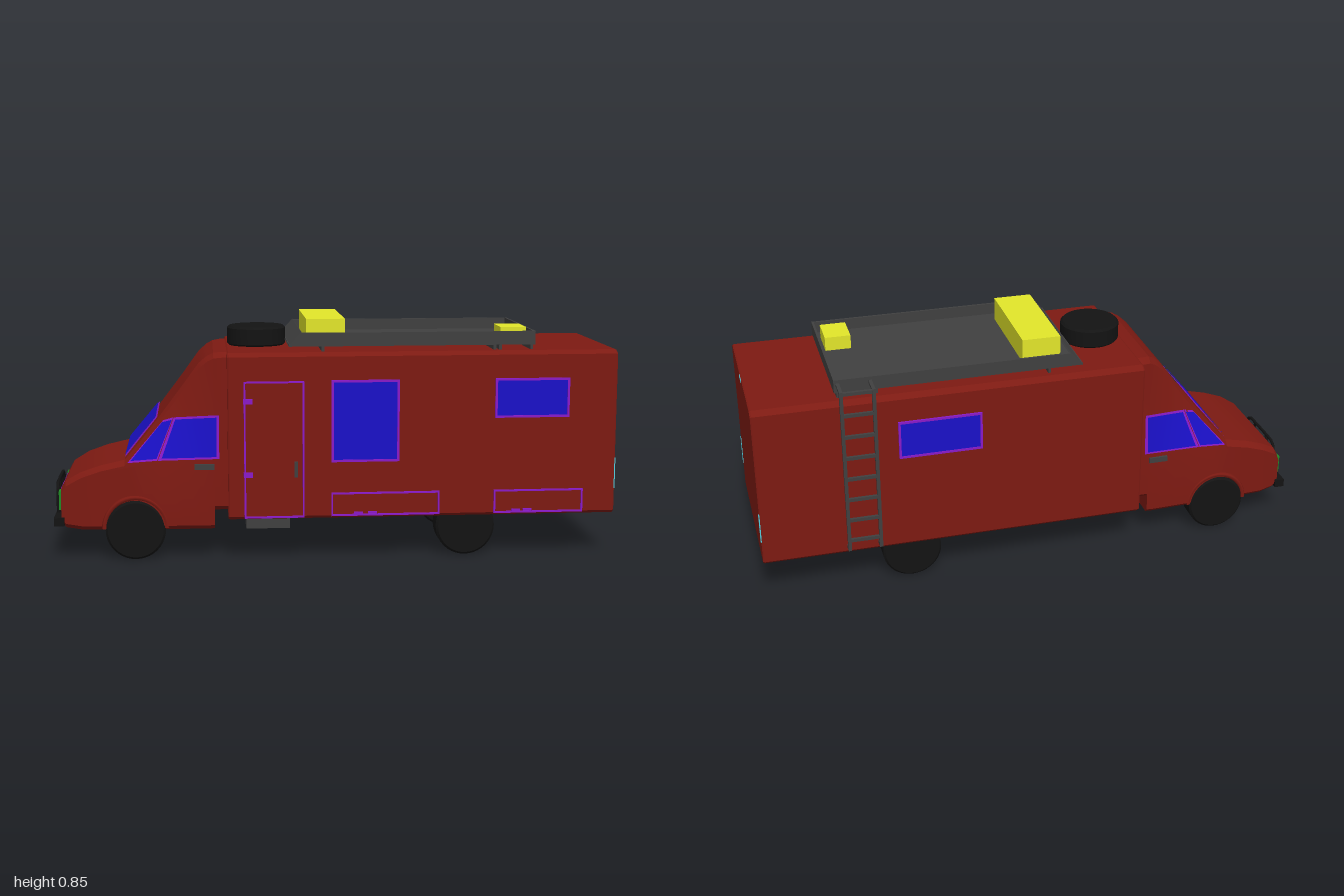
import * as THREE from 'three';
import { toCreasedNormals } from 'three/addons/utils/BufferGeometryUtils.js';

const mat = (color, side = THREE.FrontSide) => new THREE.MeshStandardMaterial({ color, side });
const RED = mat(0x7d1a12), BLUE = mat(0x1a10c8, THREE.DoubleSide), PURPLE = mat(0x8a1ac8, THREE.DoubleSide);
const YELLOW = mat(0xe2e62a), DARK = mat(0x404040, THREE.DoubleSide), BLACK = mat(0x131313);
const CYAN = mat(0x55d0e0), GREEN = mat(0x1f8a24);
const CZ = 0.012; // centre line of the vehicle
const lerp = THREE.MathUtils.lerp;

// piecewise linear lookup in [x, value] pairs
function along(table, x) {
  if (x <= table[0][0]) return table[0][1];
  for (let i = 1; i < table.length; i++) {
    const [a, va] = table[i - 1], [b, vb] = table[i];
    if (x <= b) return lerp(va, vb, (x - a) / (b - a));
  }
  return table[table.length - 1][1];
}

// half width of the cab: straight below the belt line, leaning inward above it
const BELT = 0.345;
function cabHalfWidth(x, y) {
  const base = along([[-0.97, 0.212], [-0.9, 0.23], [-0.72, 0.24], [-0.37, 0.255]], x);
  const lean = along([[-0.62, 0.24], [-0.4, 0.04]], x);
  return base - lean * Math.max(0, y - BELT);
}

export function createModel() {
  const root = new THREE.Group();
  const add = (name, geo, material, x = 0, y = 0, z = 0, parent = root) => {
    const m = new THREE.Mesh(geo, material);
    m.name = name;
    m.position.set(x, y, z);
    parent.add(m);
    return m;
  };
  // box given by its limits
  const box = (name, material, x0, x1, y0, y1, z0, z1) =>
    add(name, new THREE.BoxGeometry(x1 - x0, y1 - y0, z1 - z0), material, (x0 + x1) / 2, (y0 + y1) / 2, (z0 + z1) / 2);

  // living compartment: chamfered section pulled along x
  const section = new THREE.Shape();
  const W = 0.302;
  [[-W + 0.01, 0.15], [W - 0.01, 0.15], [W, 0.16], [W, 0.725], [W - 0.025, 0.738], [-W + 0.025, 0.738], [-W, 0.725], [-W, 0.16]]
    .forEach(([a, b], i) => (i ? section.lineTo(a, b) : section.moveTo(a, b)));
  const hull = new THREE.ExtrudeGeometry(section, { depth: 1.37, bevelEnabled: true, bevelThickness: 0.005, bevelSize: 0.003, bevelOffset: -0.003, bevelSegments: 1 });
  hull.rotateY(Math.PI / 2);
  add('livingCompartment', hull, RED, -0.377, 0, CZ);

  // cab: cross-sections [x, bottom, top] joined from nose to rear
  const stations = [[-0.972, 0.13, 0.25], [-0.955, 0.112, 0.28], [-0.9, 0.106, 0.312], [-0.83, 0.105, 0.336],
    [-0.745, 0.105, 0.355], [-0.68, 0.105, 0.43], [-0.62, 0.105, 0.506], [-0.54, 0.105, 0.612], [-0.48, 0.105, 0.694],
    [-0.45, 0.105, 0.72], [-0.43, 0.107, 0.73], [-0.429, 0.175, 0.731], [-0.4, 0.175, 0.735], [-0.37, 0.175, 0.735]];
  const rings = stations.map(([x, b, t]) => {
    const belt = Math.min(BELT, t - 0.03), mid = lerp(belt, t - 0.018, 0.5);
    const half = [[b, -0.015], [b + 0.015, 0], [belt, 0], [mid, 0], [t - 0.018, 0], [t, -0.022]]
      .map(([y, d]) => [y, cabHalfWidth(x, y) + d]);
    return [...half.map(([y, w]) => [x, y, w]), ...half.reverse().map(([y, w]) => [x, y, -w])];
  });
  const n = rings[0].length, index = [];
  for (let s = 0; s < rings.length - 1; s++) {
    for (let i = 0; i < n; i++) {
      const a = s * n + i, b = s * n + (i + 1) % n;
      index.push(a, a + n, b, b, a + n, b + n);
    }
  }
  const last = (rings.length - 1) * n;
  for (let i = 1; i < n - 1; i++) index.push(0, i, i + 1, last, last + i + 1, last + i);
  let cab = new THREE.BufferGeometry();
  cab.setAttribute('position', new THREE.Float32BufferAttribute(rings.flat(2), 3));
  cab.setIndex(index);
  cab = toCreasedNormals(cab, 0.35);
  add('cab', cab, RED, 0, 0, CZ);

  // four-cornered pane [bottom front, bottom rear, top rear, top front], each corner mapped by place()
  function pane(name, c, material, shrink, place) {
    const geo = new THREE.PlaneGeometry(1, 1, 8, 8), p = geo.attributes.position;
    for (let i = 0; i < p.count; i++) {
      const u = p.getX(i) * shrink + 0.5, v = p.getY(i) * shrink + 0.5;
      const q = [0, 1].map(k => lerp(lerp(c[0][k], c[1][k], u), lerp(c[3][k], c[2][k], u), v));
      p.setXYZ(i, ...place(...q));
    }
    geo.computeVertexNormals();
    add(name, geo, material, 0, 0, CZ);
  }
  const quarter = [[-0.735, 0.348], [-0.63, 0.355], [-0.572, 0.505], [-0.607, 0.495]];
  const doorGlass = [[-0.628, 0.355], [-0.412, 0.36], [-0.412, 0.515], [-0.57, 0.505]];
  for (const s of [1, -1]) {
    const onSide = off => (x, y) => [x, y, s * (cabHalfWidth(x, y) + off)];
    for (const [name, c] of [['quarterWindow', quarter], ['cabDoorWindow', doorGlass]]) {
      pane(name + 'Frame', c, PURPLE, 1, onSide(0.003));
      pane(name, c, BLUE, 0.9, onSide(0.006));
    }
    // cab door handle, wheel arch, headlamp
    const side = CZ + s * 0.253;
    box('cabDoorHandle', DARK, -0.5, -0.43, 0.322, 0.342, side - 0.006, side + 0.006);
    const arch = new THREE.TorusGeometry(0.11, 0.009, 6, 20, Math.PI);
    add('wheelArch', arch, RED, -0.71, 0.112, CZ + s * 0.238);
    const lamp = CZ + s * 0.18;
    box('headlamp', GREEN, -0.98, -0.965, 0.175, 0.242, lamp - 0.022, lamp + 0.022);
  }
  // windscreen, laid on the slope; first coordinate runs across, second up the slope
  const slope = off => (z, v) => [lerp(-0.743, -0.622, v) - off, lerp(0.358, 0.504, v) + off, z];
  const screen = [[-0.208, 0.02], [0.208, 0.02], [0.19, 0.97], [-0.19, 0.97]];
  pane('windscreenFrame', screen, PURPLE, 1, slope(0.003));
  pane('windscreen', screen, BLUE, 0.95, slope(0.006));

  // nose: grille, bumper and guard bars
  box('grille', PURPLE, -0.978, -0.965, 0.175, 0.24, CZ - 0.15, CZ + 0.15);
  box('frontBumper', BLACK, -0.998, -0.962, 0.12, 0.15, CZ - 0.222, CZ + 0.222);
  for (const h of [0.06, 0.125]) {
    const pts = [[0.13, -h], [0.235, -h], [0.258, -h * 0.75], [0.258, h * 0.75], [0.235, h], [0.13, h]]
      .map(([y, z]) => new THREE.Vector3(-0.99, y, z));
    const path = new THREE.CatmullRomCurve3(pts, false, 'catmullrom', 0.2);
    add('guardBar', new THREE.TubeGeometry(path, 30, 0.006, 6), BLACK, 0, 0, CZ);
  }

  // wheels and the spare on the roof
  const tyre = (name, r, w) => {
    const pts = [[0, -w / 2], [r - 0.008, -w / 2], [r, -w / 2 + 0.008], [r, w / 2 - 0.008], [r - 0.008, w / 2], [0, w / 2]]
      .map(([a, b]) => new THREE.Vector2(a, b));
    return add(name, toCreasedNormals(new THREE.LatheGeometry(pts, 40), 0.5), BLACK);
  };
  for (const s of [1, -1]) {
    for (const [name, x, z] of [['frontWheel', -0.71, 0.206], ['rearWheel', 0.465, 0.23]]) {
      const wheel = tyre(name, 0.106, 0.085);
      wheel.rotation.x = Math.PI / 2;
      wheel.position.set(x, 0.106, CZ + s * z);
    }
  }
  tyre('spareWheel', 0.106, 0.072).position.set(-0.27, 0.772, CZ);

  // outlines, windows, doors and hatches on the side walls
  function frame(name, x0, x1, y0, y1, s, t, glass) {
    const rect = (P, d) => new P([[x0 + d, y0 + d], [x1 - d, y0 + d], [x1 - d, y1 - d], [x0 + d, y1 - d]].map(p => new THREE.Vector2(...p)));
    const shape = rect(THREE.Shape, 0);
    shape.holes.push(rect(THREE.Path, t));
    const z = CZ + s * W;
    add(name, new THREE.ExtrudeGeometry(shape, { depth: 0.009, bevelEnabled: false }), PURPLE, 0, 0, s > 0 ? z - 0.002 : z - 0.007);
    if (glass) box(name + 'Glass', BLUE, x0 + t, x1 - t, y0 + t, y1 - t, z - 0.004, z + 0.004);
  }
  frame('entryDoor', -0.326, -0.115, 0.155, 0.64, 1, 0.006);
  frame('largeWindow', -0.02, 0.22, 0.352, 0.642, 1, 0.008, true);
  frame('rearWindow', 0.56, 0.826, 0.502, 0.642, 1, 0.008, true);
  frame('farSideWindow', 0.21, 0.505, 0.502, 0.642, -1, 0.008, true);
  for (const [x0, x1] of [[-0.02, 0.365], [0.56, 0.882]]) {
    frame('hatch', x0, x1, 0.158, 0.242, 1, 0.006);
    for (const k of [0.25, 0.38]) {
      const c = lerp(x0, x1, k);
      box('hatchLatch', PURPLE, c - 0.016, c + 0.016, 0.16, 0.172, 0.31, 0.319);
    }
  }
  for (const y of [0.31, 0.57]) box('doorHinge', PURPLE, -0.328, -0.295, y - 0.009, y + 0.009, 0.31, 0.32);
  box('doorHandle', DARK, -0.15, -0.138, 0.3, 0.355, 0.312, 0.324);
  box('entryStep', DARK, -0.32, -0.165, 0.113, 0.155, 0.19, 0.295);

  // rear lamps
  box('highBrakeLamp', CYAN, 0.99, 1.0, 0.724, 0.735, -0.016, 0.036);
  for (const s of [1, -1]) {
    const z = CZ + s * 0.295;
    box('tailLamp', CYAN, 0.985, 1.0, 0.24, 0.35, z - 0.005, z + 0.005);
  }

  // roof rack: tray with a sloping front lip, on cross bars
  const RZ0 = -0.245, RZ1 = 0.267;
  box('rackFloor', DARK, -0.165, 0.71, 0.755, 0.762, RZ0, RZ1);
  const wall = new THREE.Shape([[-0.165, 0.755], [0.71, 0.755], [0.71, 0.803], [-0.12, 0.803]].map(p => new THREE.Vector2(...p)));
  for (const z of [RZ0, RZ1 - 0.008]) {
    add('rackSide', new THREE.ExtrudeGeometry(wall, { depth: 0.008, bevelEnabled: false }), DARK, 0, 0, z);
  }
  box('rackRear', DARK, 0.702, 0.71, 0.755, 0.803, RZ0, RZ1);
  const lip = add('rackFront', new THREE.BoxGeometry(0.066, 0.006, RZ1 - RZ0), DARK, -0.142, 0.779, (RZ0 + RZ1) / 2);
  lip.rotation.z = Math.atan2(0.048, 0.045);
  for (const x of [-0.045, 0.565, 0.585, 0.697]) box('rackCrossBar', DARK, x - 0.005, x + 0.005, 0.733, 0.757, RZ0, RZ1);

  // luggage
  box('longCase', YELLOW, -0.1, 0.037, 0.762, 0.846, -0.187, 0.208);
  box('smallCase', YELLOW, 0.595, 0.687, 0.762, 0.812, 0.09, 0.21);

  // ladder
  for (const x of [0.586, 0.697]) {
    box('ladderRail', DARK, x - 0.006, x + 0.006, 0.175, 0.791, -0.32, -0.308);
    box('ladderTopArm', DARK, x - 0.006, x + 0.006, 0.782, 0.791, -0.32, -0.24);
    box('ladderFoot', DARK, x - 0.006, x + 0.006, 0.175, 0.187, -0.32, -0.285);
  }
  for (let i = 0; i < 8; i++) {
    const y = 0.215 + i * 0.081;
    box('ladderRung', DARK, 0.586, 0.697, y - 0.006, y + 0.006, -0.319, -0.309);
  }
  return root;
}
